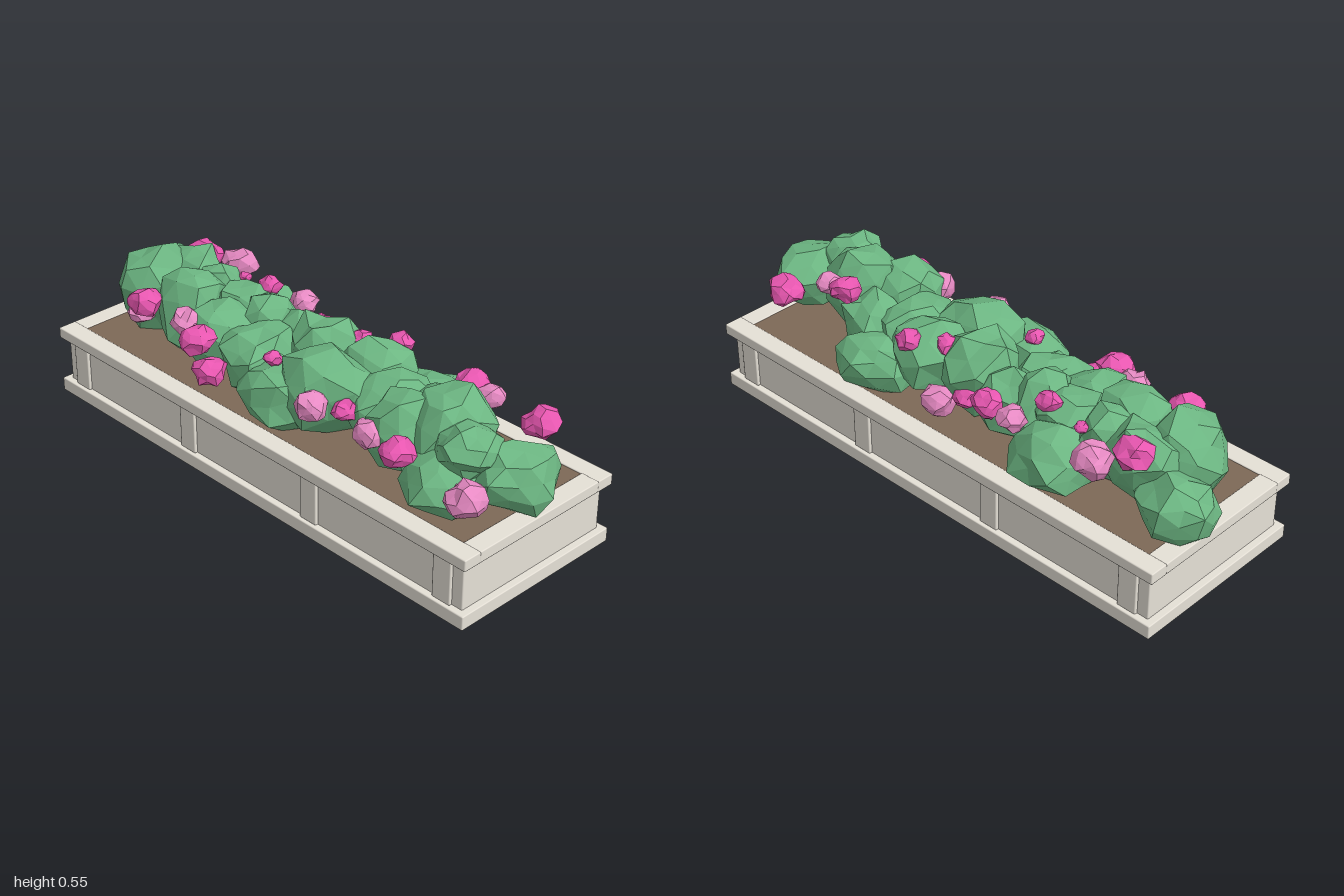
import * as THREE from 'three';
import { RoundedBoxGeometry } from 'three/addons/geometries/RoundedBoxGeometry.js';

const material = (name, color, flat = false) => {
  const m = new THREE.MeshStandardMaterial({ color, flatShading: flat });
  m.name = name;
  return m;
};

// Repeatable value in 0..1 for a point, so shared corners move together
function hash(x, y, z, seed) {
  const q = (v) => Math.round(v * 100);
  const s = Math.sin(q(x) * 12.99 + q(y) * 78.23 + q(z) * 37.72 + seed * 51.37) * 43758.55;
  return s - Math.floor(s);
}

// Faceted, uneven ball; corners below the floor are pressed flat
function lump(rx, ry, rz, seed, jitter, floor = -Infinity) {
  const g = new THREE.IcosahedronGeometry(1, 1);
  const p = g.attributes.position;
  const v = new THREE.Vector3();
  const tilt = new THREE.Euler(seed * 1.3, seed * 2.1, seed * 0.7);
  for (let i = 0; i < p.count; i++) {
    v.fromBufferAttribute(p, i);
    const k = 1.02 + jitter * (hash(v.x, v.y, v.z, seed) - 0.5);
    const twist = jitter * (hash(v.y, v.z, v.x, seed + 9) - 0.5);
    v.set(v.x + twist * v.z, v.y, v.z - twist * v.x).normalize().multiplyScalar(k).applyEuler(tilt);
    p.setXYZ(i, v.x * rx, Math.max(v.y * ry, floor), v.z * rz);
  }
  g.computeVertexNormals();
  return g;
}

export function createModel() {
  const stone = material('stone', 0xe5e0d6);
  const soilMat = material('soil', 0x7d6856);
  const green = material('leaf green', 0x6cb682, true);
  const deepPink = material('deep pink', 0xee59b5, true);
  const palePink = material('pale pink', 0xea8cc6, true);

  const model = new THREE.Group();
  model.name = 'flowerPlanter';

  const add = (name, geometry, mat, x, y, z, parent = model) => {
    const mesh = new THREE.Mesh(geometry, mat);
    mesh.name = name;
    mesh.position.set(x, y, z);
    parent.add(mesh);
    return mesh;
  };
  const block = (w, h, d) => new RoundedBoxGeometry(w, h, d, 1, 0.004);

  // Trough
  add('base', block(0.668, 0.05, 1.924), stone, 0, 0.025, 0);
  add('body', block(0.62, 0.17, 1.875), stone, 0, 0.132, 0);
  add('soil', new THREE.BoxGeometry(0.54, 0.03, 1.8), soilMat, 0, 0.232, 0);

  // Rim: two long rails with end rails between them
  for (const s of [-1, 1]) {
    add('sideRim', block(0.069, 0.04, 1.924), stone, s * 0.2995, 0.231, 0);
    add('endRim', block(0.537, 0.04, 0.069), stone, 0, 0.231, s * 0.9273);
    for (const z of [-0.86, -0.29, 0.29, 0.86]) {
      add('pilaster', block(0.02, 0.165, 0.072), stone, s * 0.311, 0.131, z);
    }
  }

  // Foliage clumps: x, z, radius x, radius z, centre height, radius y
  const clumps = [
    [0.11, -0.87, 0.12, 0.13, 0.33, 0.1], [-0.04, -0.77, 0.135, 0.13, 0.39, 0.15],
    [0.08, -0.7, 0.11, 0.13, 0.39, 0.13], [-0.05, -0.56, 0.125, 0.13, 0.37, 0.14],
    [0.06, -0.55, 0.1, 0.11, 0.37, 0.12], [0.18, -0.43, 0.125, 0.16, 0.32, 0.11],
    [0.06, -0.4, 0.11, 0.11, 0.39, 0.1], [-0.06, -0.39, 0.125, 0.13, 0.36, 0.12],
    [0.05, -0.29, 0.11, 0.11, 0.37, 0.12], [-0.07, -0.2, 0.135, 0.13, 0.34, 0.12],
    [0.08, -0.16, 0.1, 0.12, 0.34, 0.12], [-0.16, 0.0, 0.125, 0.15, 0.32, 0.11],
    [0.05, -0.02, 0.125, 0.13, 0.38, 0.14], [-0.08, 0.13, 0.15, 0.17, 0.36, 0.14],
    [0.09, 0.19, 0.13, 0.13, 0.37, 0.13], [0.0, 0.33, 0.14, 0.13, 0.35, 0.12],
    [0.19, 0.35, 0.11, 0.14, 0.31, 0.09], [-0.09, 0.49, 0.135, 0.13, 0.38, 0.12],
    [0.07, 0.48, 0.11, 0.12, 0.35, 0.11], [-0.02, 0.63, 0.14, 0.13, 0.41, 0.14],
    [-0.15, 0.71, 0.125, 0.13, 0.31, 0.1], [-0.1, 0.75, 0.095, 0.1, 0.43, 0.08],
    [-0.01, 0.87, 0.135, 0.13, 0.355, 0.11],
  ];
  const foliage = new THREE.Group();
  foliage.name = 'foliage';
  model.add(foliage);
  clumps.forEach(([x, z, rx, rz, y, ry], i) => {
    add('leafClump', lump(rx, ry, rz, i + 1, 0.33, 0.245 - y), green, x, y, z, foliage);
  });

  // Blossoms: x, y, z, radius, 1 for pale
  const blossoms = [
    [0.14, 0.46, -0.72, 0.06, 0], [0.22, 0.43, -0.63, 0.062, 1], [0.14, 0.45, -0.51, 0.022, 0],
    [0.13, 0.47, -0.37, 0.04, 0], [0.21, 0.41, -0.29, 0.048, 1], [0.17, 0.38, -0.15, 0.055, 0],
    [0.16, 0.35, -0.05, 0.045, 0], [0.2, 0.31, 0.05, 0.058, 1], [0.11, 0.46, 0.09, 0.038, 0],
    [0.18, 0.46, 0.2, 0.042, 0], [0.15, 0.28, 0.47, 0.025, 0], [0.13, 0.48, 0.55, 0.05, 0],
    [0.13, 0.47, 0.63, 0.042, 1], [0.2, 0.41, 0.78, 0.06, 0], [-0.225, 0.36, 0.86, 0.064, 1],
    [-0.22, 0.39, 0.57, 0.055, 0], [-0.2, 0.39, 0.44, 0.057, 1], [-0.15, 0.38, 0.28, 0.042, 0],
    [-0.22, 0.39, 0.2, 0.057, 1], [-0.15, 0.43, -0.05, 0.03, 0], [-0.24, 0.33, -0.26, 0.055, 0],
    [-0.22, 0.41, -0.34, 0.06, 0], [-0.18, 0.42, -0.45, 0.052, 1], [-0.19, 0.42, -0.65, 0.055, 0],
    [-0.14, 0.33, -0.74, 0.045, 1],
  ];
  const flowers = new THREE.Group();
  flowers.name = 'blossoms';
  model.add(flowers);
  blossoms.forEach(([x, y, z, r, pale], i) => {
    add('blossom', lump(r, r * 0.85, r, i + 50, 0.35), pale ? palePink : deepPink, x, y, z, flowers);
  });

  return model;
}
